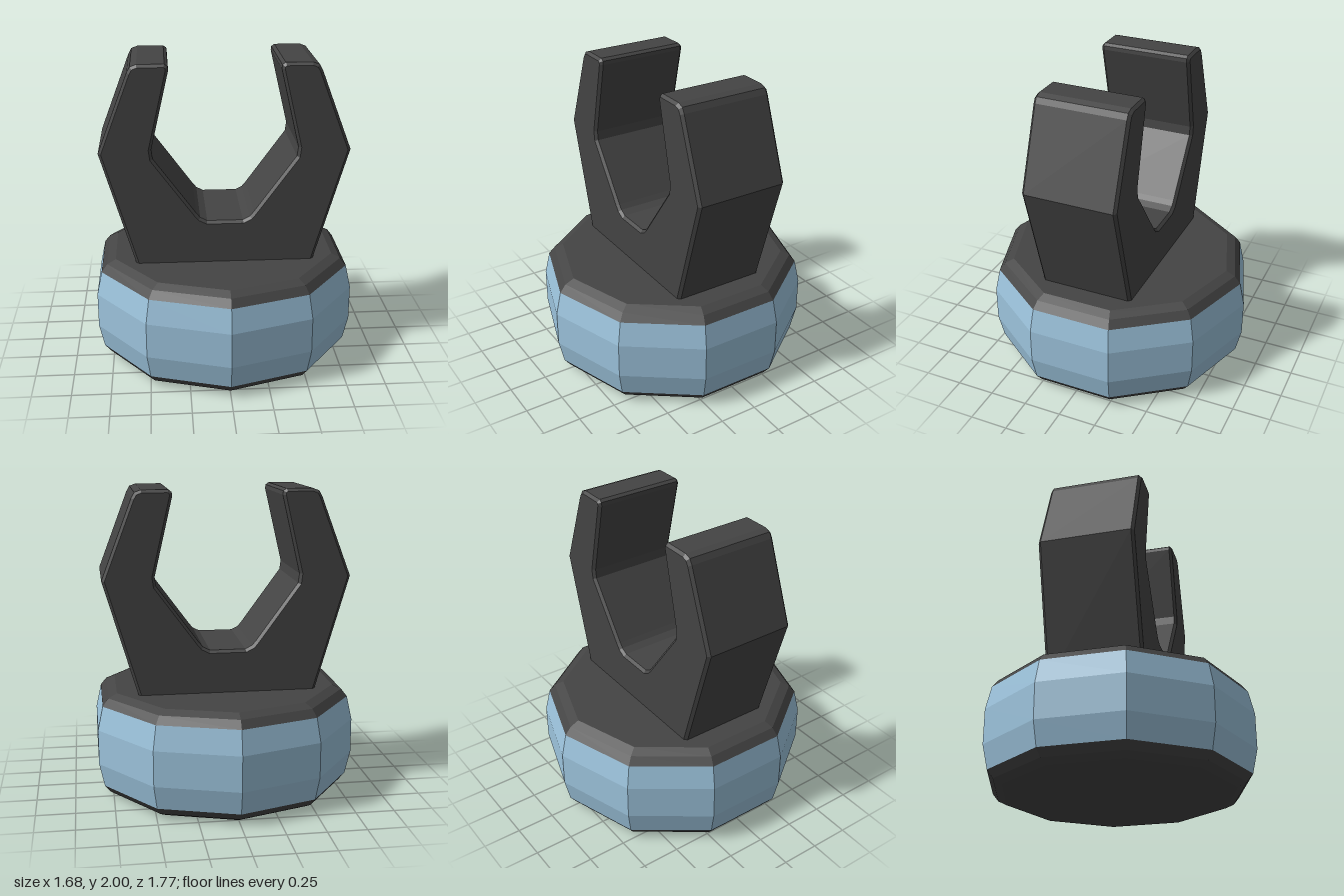
import * as THREE from 'three';

const SIDES = 10;
const dark = new THREE.MeshStandardMaterial({ color: 0x444444, flatShading: true });
const blue = new THREE.MeshStandardMaterial({ color: 0x9cc3dc, flatShading: true });

const points = (list) => list.map(([x, y]) => new THREE.Vector2(x, y));

// Ten-sided ring or cap from a [radius, height] profile, listed bottom to top
function turned(name, profile, material) {
  const mesh = new THREE.Mesh(new THREE.LatheGeometry(points(profile), SIDES), material);
  mesh.name = name;
  return mesh;
}

// Open two-pronged jaw, mirrored from its right-hand outline
function createJaw() {
  const half = [
    [0.55, 0.6], [0.795, 1.44], [0.6, 1.95], [0.58, 1.985], [0.54, 2],
    [0.37, 2], [0.35, 1.985], [0.347, 1.96], [0.463, 1.46], [0.455, 1.4],
    [0.185, 1.03], [0.16, 1.0], [0.115, 0.977],
  ];
  const mirrored = half.map(([x, y]) => [-x, y]).reverse();
  const bevel = 0.018;
  const depth = 0.62 - 2 * bevel;
  const geometry = new THREE.ExtrudeGeometry(new THREE.Shape(points([...half, ...mirrored])), {
    depth,
    bevelEnabled: true,
    bevelThickness: bevel,
    bevelSize: bevel,
    bevelOffset: -bevel,
    bevelSegments: 1,
  });
  geometry.translate(0, 0, -depth / 2);
  const mesh = new THREE.Mesh(geometry, dark);
  mesh.name = 'jaw';
  return mesh;
}

export function createModel() {
  const model = new THREE.Group();
  model.name = 'clawMount';
  model.add(
    // Round base: dark rounded caps around a bulging coloured band
    turned('baseBottom', [[0, 0], [0.75, 0], [0.81, 0.03], [0.85, 0.08]], dark),
    turned('baseBand', [[0.85, 0.08], [0.885, 0.235], [0.885, 0.465], [0.85, 0.62]], blue),
    turned('baseTop', [[0.85, 0.62], [0.81, 0.67], [0.75, 0.697], [0, 0.697]], dark),
    createJaw(),
  );
  return model;
}
